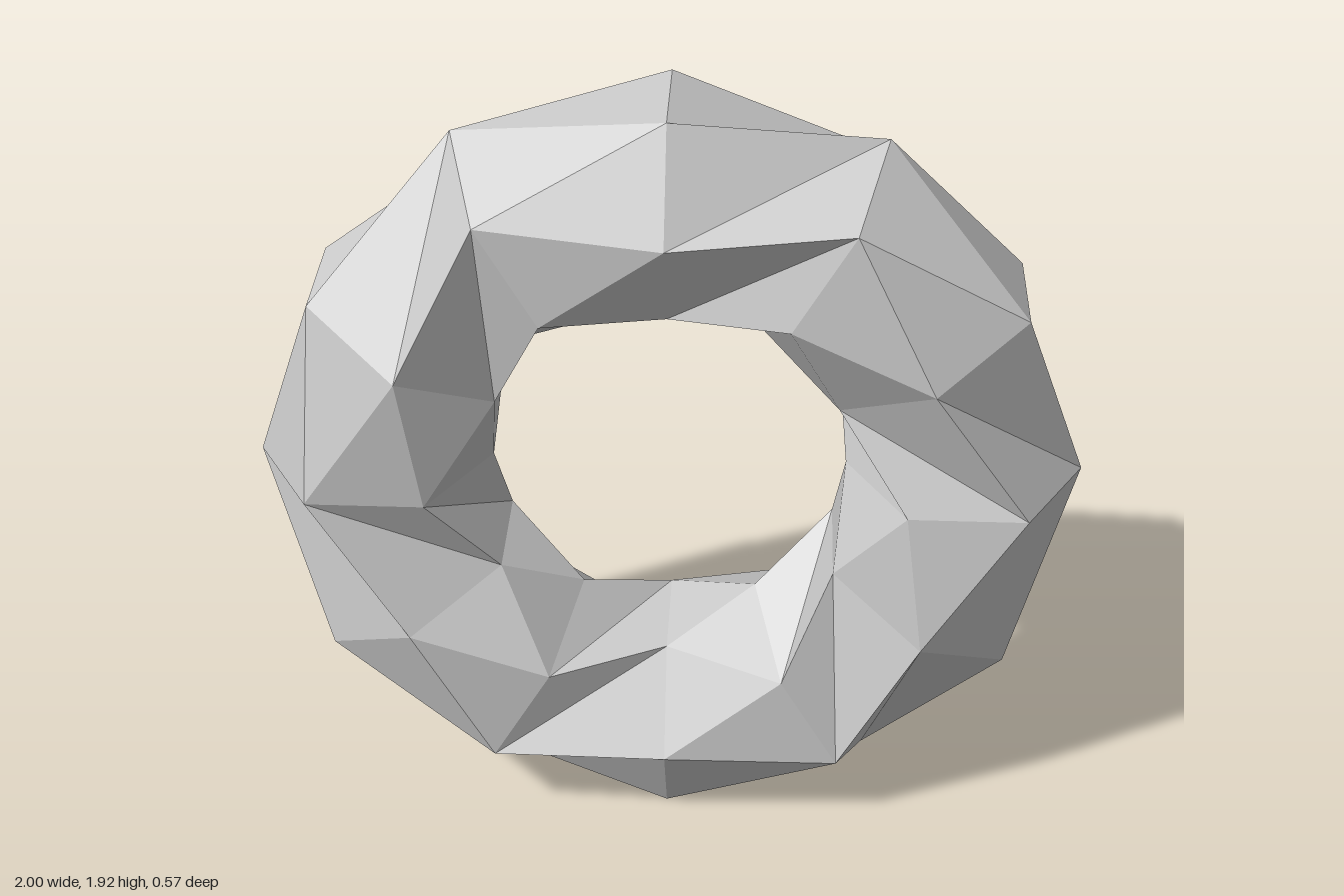
import * as THREE from 'three';

const SEGMENTS = 12;   // rings around the loop
const SIDES = 6;       // hexagonal tube section
const RADIUS = 0.715;  // loop centre line
const TUBE = 0.285;    // tube radius

// Faceted ring: hexagon sections, every second one turned by half a side
function facetedRingGeometry() {
  const positions = [];
  const index = [];
  for (let i = 0; i < SEGMENTS; i++) {
    const theta = (i / SEGMENTS) * Math.PI * 2;
    for (let j = 0; j < SIDES; j++) {
      const phi = ((j + (i % 2) * 0.5) / SIDES) * Math.PI * 2;
      const rho = RADIUS + TUBE * Math.cos(phi);
      positions.push(rho * Math.cos(theta), rho * Math.sin(theta), TUBE * Math.sin(phi));
    }
  }
  // Join each section to the next, always splitting along the same diagonal
  const at = (i, j) => (i % SEGMENTS) * SIDES + (j % SIDES);
  for (let i = 0; i < SEGMENTS; i++) {
    for (let j = 0; j < SIDES; j++) {
      index.push(at(i, j), at(i + 1, j), at(i + 1, j + 1));
      index.push(at(i, j), at(i + 1, j + 1), at(i, j + 1));
    }
  }
  const geometry = new THREE.BufferGeometry();
  geometry.setAttribute('position', new THREE.Float32BufferAttribute(positions, 3));
  geometry.setIndex(index);
  const flat = geometry.toNonIndexed();
  flat.computeVertexNormals();
  return flat;
}

export function createModel() {
  const group = new THREE.Group();
  group.name = 'facetedRing';
  const material = new THREE.MeshStandardMaterial({ color: 0xcccccc, flatShading: true });
  const ring = new THREE.Mesh(facetedRingGeometry(), material);
  ring.name = 'ring';
  // Stand the ring on the ground: its lowest section has a flat side outward
  ring.position.y = RADIUS + TUBE * Math.cos(Math.PI / SIDES);
  group.add(ring);
  return group;
}
